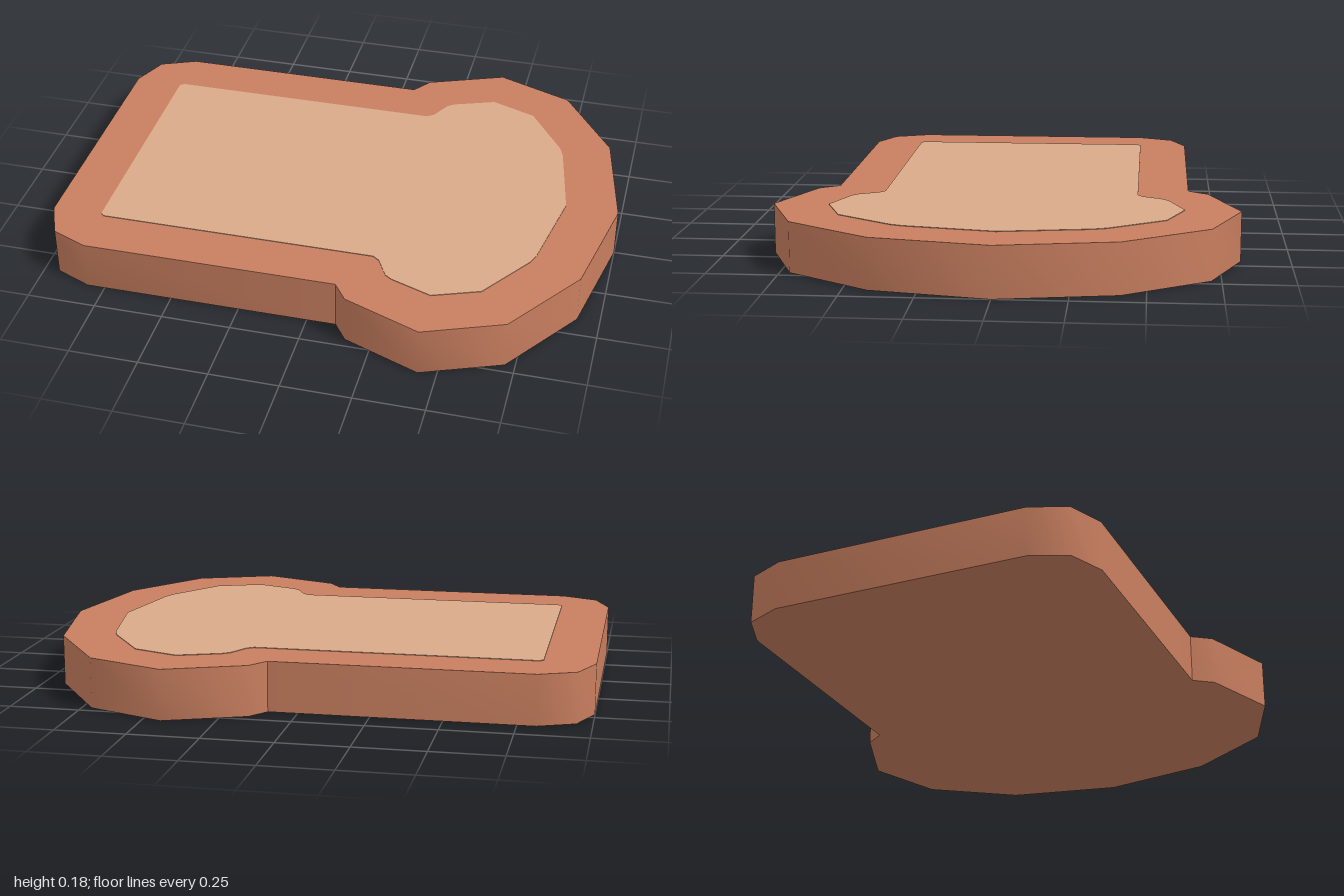
import * as THREE from 'three';
import { toCreasedNormals } from 'three/addons/utils/BufferGeometryUtils.js';

// Half outlines (x, z), from the flat end to the rounded tip
const crustHalf = [
  [-1, 0.46], [-0.945, 0.59], [-0.815, 0.645], [0.105, 0.645], [0.155, 0.715],
  [0.435, 0.825], [0.715, 0.715], [0.92, 0.415], [1, 0],
];
const crumbHalf = [
  [-0.82, 0.45], [-0.805, 0.462], [0.195, 0.462], [0.22, 0.48], [0.26, 0.555], [0.285, 0.573],
  [0.435, 0.628], [0.6, 0.565], [0.735, 0.365], [0.752, 0.32], [0.81, 0],
];

// Mirror a half outline and extrude it upward from y0 to y1
function slab(half, y0, y1) {
  const mirrored = half.slice(0, -1).reverse().map(([x, z]) => [x, -z]);
  const shape = new THREE.Shape([...half, ...mirrored].map(([x, z]) => new THREE.Vector2(x, z)));
  const geometry = new THREE.ExtrudeGeometry(shape, { depth: y1 - y0, bevelEnabled: false });
  geometry.rotateX(-Math.PI / 2).translate(0, y0, 0);
  // Soft around the rim, sharp at the notches and the flat faces
  return toCreasedNormals(geometry, THREE.MathUtils.degToRad(50));
}

export function createModel() {
  const crustBrown = new THREE.MeshStandardMaterial({ color: 0xc87e5f });
  crustBrown.name = 'crustBrown';
  const crumbTan = new THREE.MeshStandardMaterial({ color: 0xd9aa89 });
  crumbTan.name = 'crumbTan';

  const crust = new THREE.Mesh(slab(crustHalf, 0, 0.179), crustBrown);
  crust.name = 'crust';

  // Thin pale face on the top of the slice
  const crumb = new THREE.Mesh(slab(crumbHalf, 0.176, 0.181), crumbTan);
  crumb.name = 'crumb';

  const breadSlice = new THREE.Group();
  breadSlice.name = 'breadSlice';
  breadSlice.add(crust, crumb);
  return breadSlice;
}
